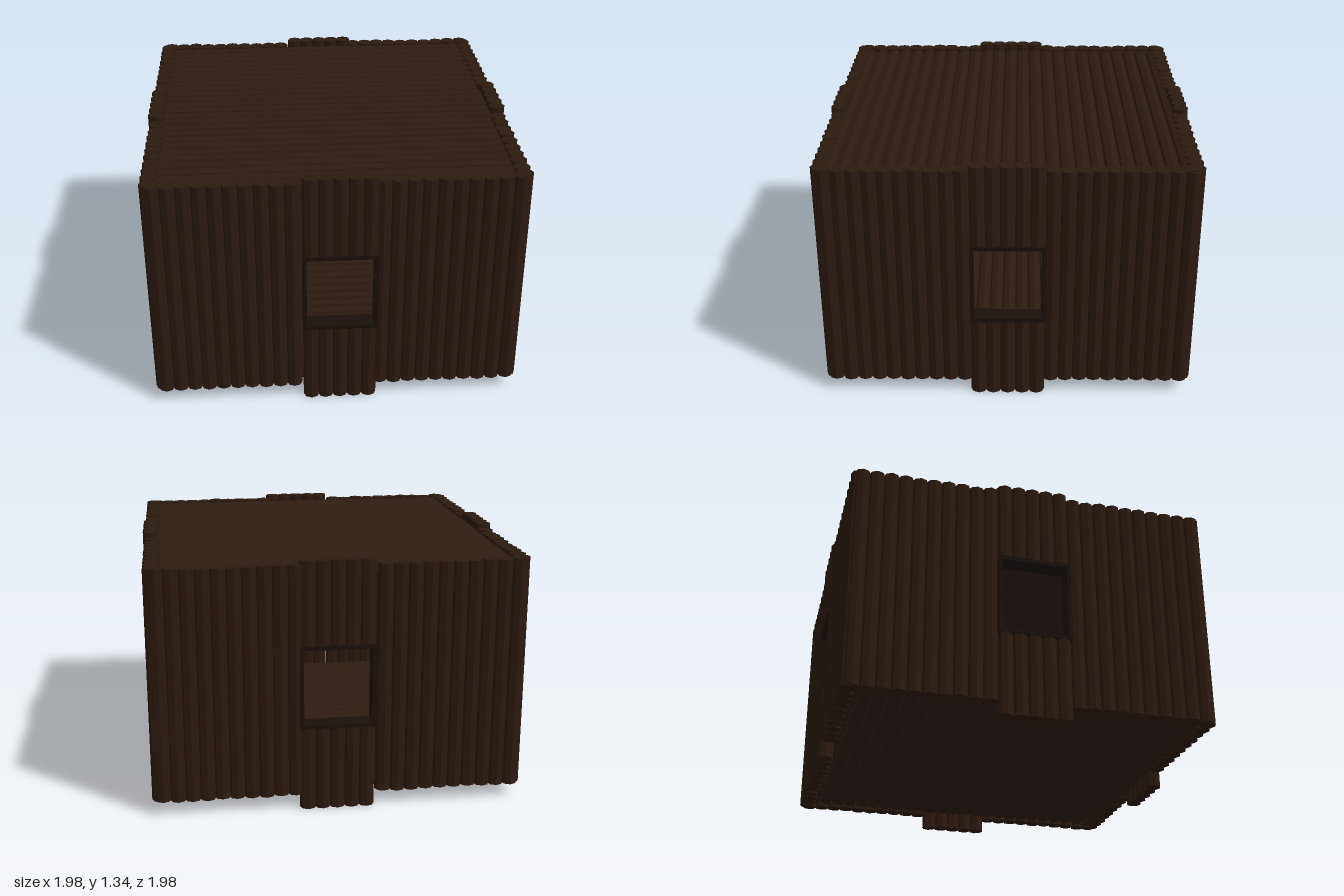
import * as THREE from 'three';

const PITCH = 0.077, R = 0.043, WALL = 0.94;
const wood = new THREE.MeshStandardMaterial({ color: 0x2c1b11, flatShading: true });
const darkWood = new THREE.MeshStandardMaterial({ color: 0x1a100b, flatShading: true });

// Small repeatable variation for log lengths
let seed = 7;
const vary = (amount) => {
  seed = (seed * 16807) % 2147483647;
  return (seed / 2147483647 - 0.5) * amount;
};

function uprightLog(name, x, y0, y1, z) {
  const log = new THREE.Mesh(new THREE.CylinderGeometry(R, R, y1 - y0, 8), wood);
  log.name = name;
  log.position.set(x, (y0 + y1) / 2, z);
  return log;
}

function bar(name, w, h, d, x, y, z) {
  const mesh = new THREE.Mesh(new THREE.BoxGeometry(w, h, d), darkWood);
  mesh.name = name;
  mesh.position.set(x, y, z);
  return mesh;
}

// One wall facing +z: upright logs with a taller window bay in the middle
function makeWall(name, shift) {
  const wall = new THREE.Group();
  wall.name = name;
  for (let i = -12; i <= 12; i++) {
    const x = i * PITCH;
    if (Math.abs(i) > 2) {
      wall.add(uprightLog('wallLog', x, 0.077 + vary(0.006), 1.312 + vary(0.008), WALL));
    } else {
      wall.add(uprightLog('lowerBayLog', x + shift, 0, 0.455, WALL + 0.008));
      wall.add(uprightLog('upperBayLog', x + shift, 0.885, 1.337, WALL + 0.008));
    }
  }
  // Window frame
  wall.add(bar('windowSill', 0.39, 0.022, 0.1, shift, 0.459, WALL));
  wall.add(bar('windowHead', 0.39, 0.022, 0.1, shift, 0.885, WALL));
  for (const s of [-1, 1]) {
    wall.add(bar('windowJamb', 0.02, 0.42, 0.09, shift + s * 0.187, 0.672, WALL));
  }
  return wall;
}

// A level deck of logs running along x
function makeDeck(name, y) {
  const deck = new THREE.Group();
  deck.name = name;
  const geometry = new THREE.CylinderGeometry(R, R, 1.86, 8);
  geometry.rotateZ(Math.PI / 2);
  for (let i = -12; i <= 12; i++) {
    const log = new THREE.Mesh(geometry, wood);
    log.name = name + 'Log';
    log.position.set(0, y, i * 0.0755);
    deck.add(log);
  }
  return deck;
}

export function createModel() {
  const cabin = new THREE.Group();
  cabin.name = 'logCabin';

  // Four walls turned around the centre
  const walls = [['frontWall', 0.014], ['leftWall', 0], ['backWall', -0.014], ['rightWall', 0]];
  walls.forEach(([name, shift], i) => {
    const wall = makeWall(name, shift);
    wall.rotation.y = i * Math.PI / 2;
    cabin.add(wall);
  });

  // Roof and floor
  cabin.add(makeDeck('roof', 1.262));
  cabin.add(makeDeck('floor', 0.13));
  return cabin;
}
